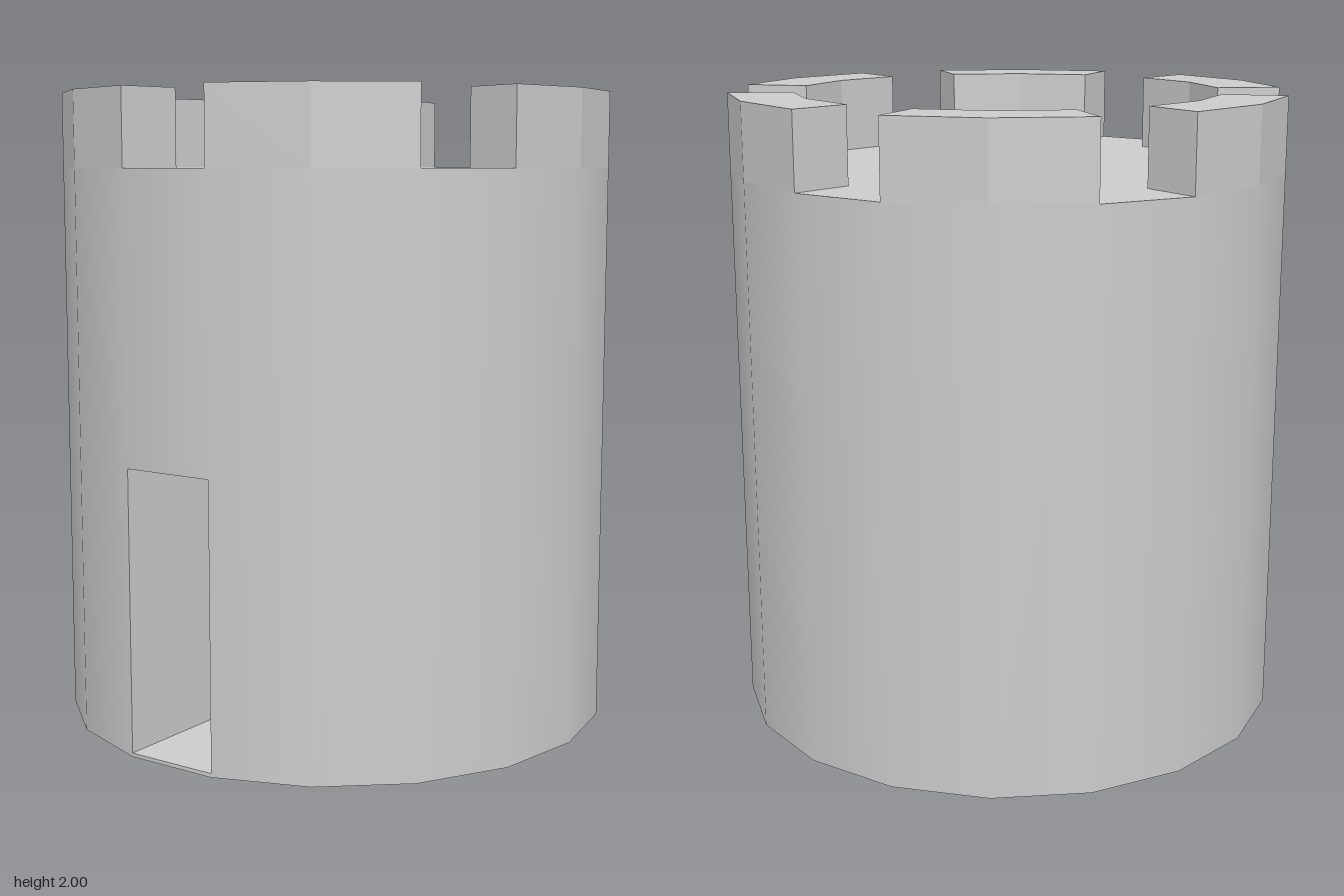
import * as THREE from 'three';

const SIDES = 18;
const STEP = (Math.PI * 2) / SIDES;
const R = 0.877;          // outer corner radius
const R_IN = 0.675;       // inner corner radius of the battlements
const TOP = 1.765;        // roof level
const HEIGHT = 2;
const SILL = 0.012;
const DOOR_H = 0.885;
const DOOR_DEPTH = 0.5;

export function createModel() {
  const group = new THREE.Group();
  const material = new THREE.MeshStandardMaterial({ color: 0xcccccc });

  const add = (name, geometry) => {
    const mesh = new THREE.Mesh(geometry, material);
    mesh.name = name;
    group.add(mesh);
    return mesh;
  };

  // Open strip of the smooth wall; the front facet spans -STEP/2 to STEP/2
  const wall = (name, y0, y1, start, count) => {
    const g = new THREE.CylinderGeometry(R, R, y1 - y0, count, 1, true, start, count * STEP);
    add(name, g.translate(0, (y0 + y1) / 2, 0));
  };
  wall('towerWall', 0, TOP, STEP / 2, SIDES - 1);
  wall('wallAboveDoor', DOOR_H, TOP, -STEP / 2, 1);
  wall('doorSill', 0, SILL, -STEP / 2, 1);

  // Roof and underside
  add('roof', new THREE.CircleGeometry(R, SIDES).rotateX(-Math.PI / 2).translate(0, TOP, 0));
  add('underside', new THREE.CircleGeometry(R, SIDES).rotateX(Math.PI / 2));

  // Doorway: an inward-facing box without its front face
  const doorW = 2 * R * Math.sin(STEP / 2);
  const faceZ = R * Math.cos(STEP / 2);
  const recess = new THREE.BoxGeometry(doorW, DOOR_H - SILL, DOOR_DEPTH);
  const index = Array.from(recess.index.array);
  index.splice(24, 6);
  recess.setIndex(index);
  recess.clearGroups();
  recess.scale(-1, 1, 1);
  recess.computeVertexNormals();
  recess.translate(0, (DOOR_H + SILL) / 2, faceZ - DOOR_DEPTH / 2);
  add('doorway', recess);

  // Six battlements, each two facets wide with radial ends
  const ring = (r, angles) => angles.map(
    (a) => new THREE.Vector2(r * Math.cos(a), r * Math.sin(a)));
  const shape = new THREE.Shape([
    ...ring(R, [-STEP, 0, STEP]),
    ...ring(R_IN, [STEP, 0, -STEP]),
  ]);
  const block = new THREE.ExtrudeGeometry(shape, { depth: HEIGHT - TOP, bevelEnabled: false });
  block.rotateX(-Math.PI / 2).translate(0, TOP, 0);
  for (let i = 0; i < 6; i++) {
    add('battlement' + (i + 1), block).rotation.y = (i * Math.PI) / 3;
  }

  return group;
}
